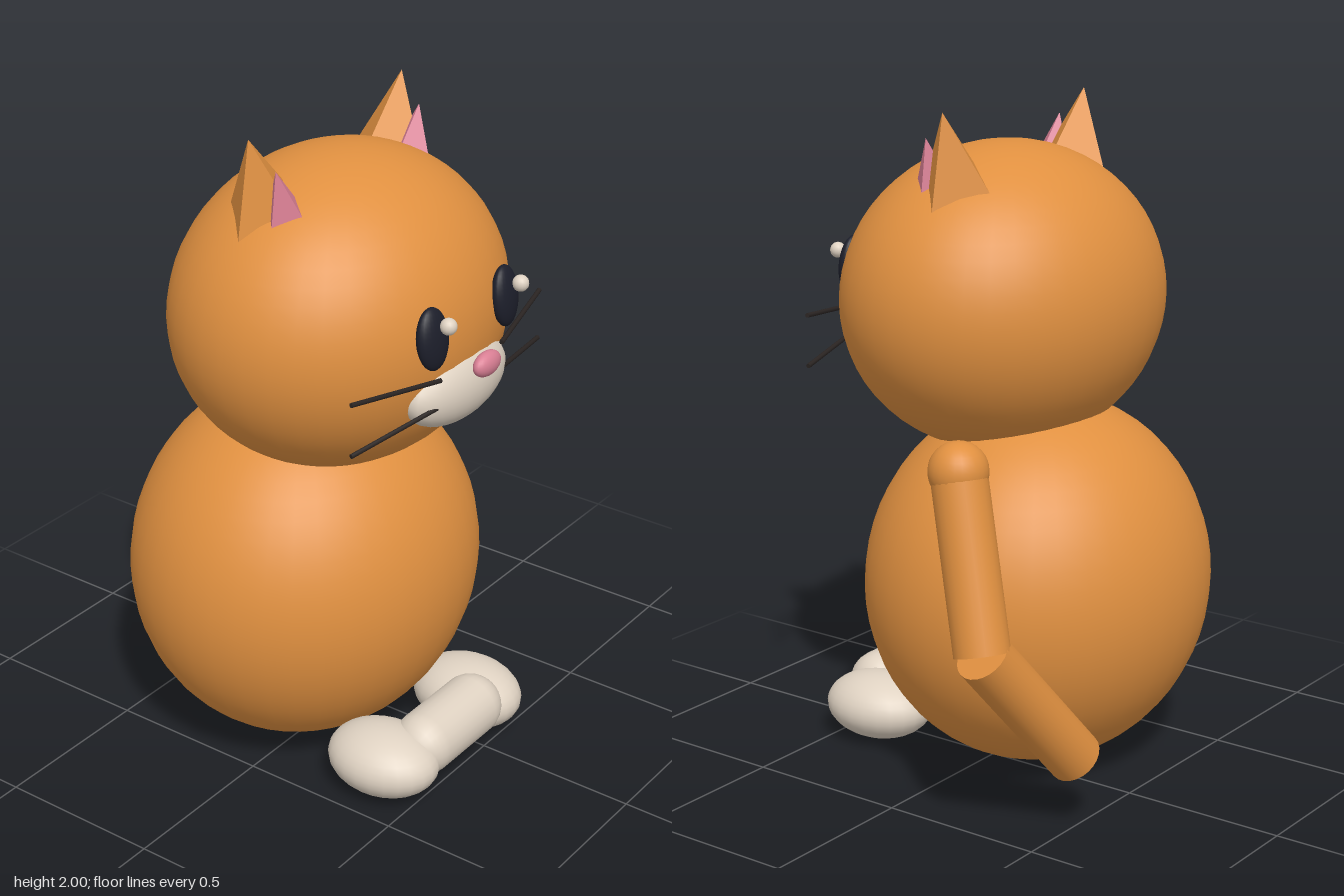
import * as THREE from 'three';

const CX = -0.13; // the cat's own mid-plane

export function createModel() {
  const cat = new THREE.Group();
  cat.name = 'cat';

  const material = (name, color) => new THREE.MeshStandardMaterial({ name, color });
  const orange = material('orange fur', 0xe09040);
  const cream = material('cream fur', 0xdfd2c2);
  const pink = material('pink skin', 0xd97f94);
  const dark = material('dark eye', 0x1c1e2a);
  const black = material('black whisker', 0x2a2422);

  const add = (name, geometry, mat, x, y, z) => {
    const mesh = new THREE.Mesh(geometry, mat);
    mesh.name = name;
    mesh.position.set(x, y, z);
    cat.add(mesh);
    return mesh;
  };
  const ball = (name, mat, [x, y, z], [rx, ry, rz], seg = 24) => {
    const mesh = add(name, new THREE.SphereGeometry(1, seg, Math.round(seg * 0.75)), mat, x, y, z);
    mesh.scale.set(rx, ry, rz);
    return mesh;
  };
  // Round bar between two points
  const bar = (name, mat, from, to, radius, sides) => {
    const a = new THREE.Vector3(...from), b = new THREE.Vector3(...to);
    const mid = a.clone().lerp(b, 0.5);
    const mesh = add(name, new THREE.CylinderGeometry(radius, radius, a.distanceTo(b), sides), mat, mid.x, mid.y, mid.z);
    mesh.quaternion.setFromUnitVectors(new THREE.Vector3(0, 1, 0), b.sub(a).normalize());
    return mesh;
  };
  // Four-sided ear, placed by its tip and leaning outwards
  const ear = (name, mat, side, tip, radius, height) => {
    const geometry = new THREE.ConeGeometry(radius, height, 4).toNonIndexed();
    geometry.computeVertexNormals();
    geometry.translate(0, -height / 2, 0);
    const mesh = add(name, geometry, mat, CX + side * tip[0], tip[1], tip[2]);
    mesh.rotation.z = -side * 0.28;
  };

  // Body and head
  ball('body', orange, [CX, 0.567, -0.075], [0.56, 0.562, 0.506], 40);
  ball('head', orange, [CX, 1.42, 0.055], [0.54, 0.46, 0.455], 40);

  // Muzzle and nose
  ball('muzzle', cream, [CX, 1.285, 0.45], [0.22, 0.115, 0.09]);
  ball('nose', pink, [CX, 1.365, 0.555], [0.057, 0.036, 0.027]);

  for (const side of [-1, 1]) {
    const label = side > 0 ? 'left' : 'right';
    // Ears
    ear(label + 'Ear', orange, side, [0.35, 2.0, 0.015], 0.14, 0.28);
    ear(label + 'InnerEar', pink, side, [0.33, 1.92, 0.09], 0.08, 0.18);

    // Eyes with highlights
    const eyeX = CX + side * 0.177;
    ball(label + 'Eye', dark, [eyeX, 1.488, 0.494], [0.058, 0.09, 0.03]).rotation.set(-0.12, side * 0.1, 0);
    ball(label + 'EyeHighlight', cream, [eyeX + 0.02, 1.528, 0.532], [0.024, 0.024, 0.024], 16);

    // Whiskers
    for (const [inner, outer] of [[1.357, 1.386], [1.278, 1.234]]) {
      bar(label + 'Whisker', black, [CX + side * 0.15, inner, 0.505], [CX + side * 0.46, outer, 0.432], 0.007, 8);
    }

    // Paws
    ball(label + 'Paw', cream, [CX + side * 0.22, 0.112, 0.375], [0.142, 0.102, 0.176]);
  }

  // Rounded bar joining the paws
  const arm = add('pawBridge', new THREE.CapsuleGeometry(0.095, 0.24, 8, 24), cream, CX, 0.14, 0.452);
  arm.rotation.z = Math.PI / 2;

  // Tail in two lengths with a round tip
  const bend = [0.61, 0.605, -0.412], tip = [0.54, 1.085, -0.28];
  bar('lowerTail', orange, [0.272, 0.21, -0.488], bend, 0.08, 24);
  bar('upperTail', orange, bend, tip, 0.08, 24);
  ball('tailTip', orange, tip, [0.085, 0.085, 0.085]);

  return cat;
}
